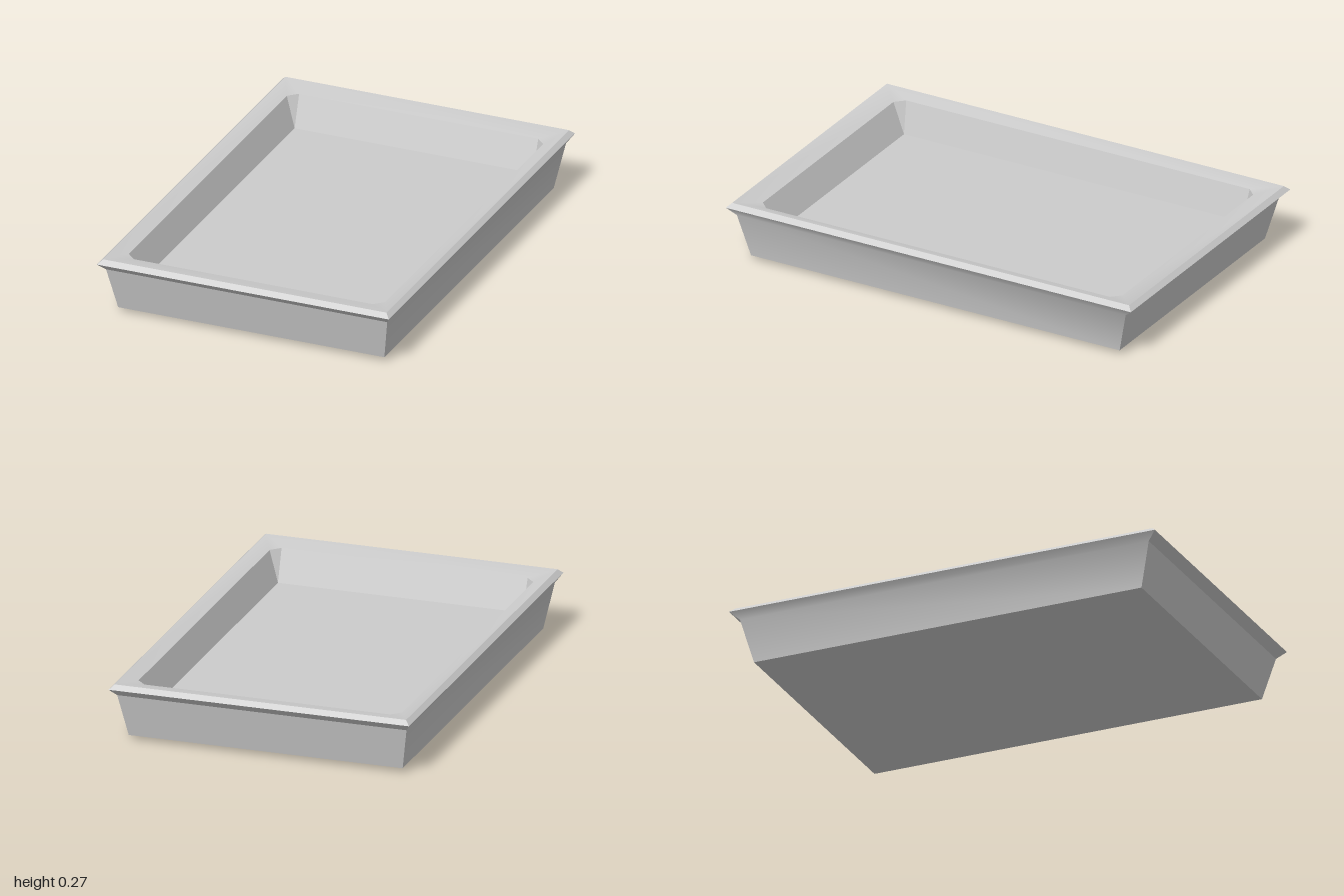
import * as THREE from 'three';
import { toCreasedNormals } from 'three/addons/utils/BufferGeometryUtils.js';

// Rectangle of half-sizes x, z at height y, with corners cut by c
function ring([x, z, y, c = 0]) {
  return [
    [x, z - c], [x - c, z], [c - x, z], [-x, z - c],
    [-x, c - z], [c - x, -z], [x - c, -z], [x, c - z],
  ].map(([px, pz]) => new THREE.Vector3(px, y, pz));
}

// Skin a series of rectangular sections, leaving out zero-area triangles
function loft(sections) {
  const rings = sections.map(ring);
  const points = [];
  const tri = new THREE.Triangle();
  const add = (a, b, c) => {
    if (tri.set(a, b, c).getArea() > 1e-7) points.push(a, b, c);
  };
  for (let i = 0; i < rings.length - 1; i++) {
    for (let k = 0; k < 8; k++) {
      const n = (k + 1) % 8;
      add(rings[i][k], rings[i + 1][k], rings[i + 1][n]);
      add(rings[i][k], rings[i + 1][n], rings[i][n]);
    }
  }
  return toCreasedNormals(new THREE.BufferGeometry().setFromPoints(points), 0.6);
}

export function createModel() {
  const group = new THREE.Group();
  group.name = 'tray';
  const material = new THREE.MeshStandardMaterial({ color: 0xcccccc });

  // Sections: half width, half length, height, corner cut
  const lip = [0.68, 1, 0.25];
  const crest = [0.66, 0.98, 0.27];
  const opening = [0.597, 0.888, 0.25, 0.04];
  const parts = {
    // Underside, sloped walls and flared edge
    outerShell: [[0, 0, 0], [0.55, 0.84, 0], [0.62, 0.91, 0.02], [0.655, 0.96, 0.215], lip],
    // Bevelled lip and the flat border sloping in to the opening
    rim: [lip, crest, opening],
    // Inner walls with cut corners, and the floor
    basin: [opening, [0.555, 0.835, 0.11], [0, 0, 0.11]],
  };
  for (const [name, sections] of Object.entries(parts)) {
    const mesh = new THREE.Mesh(loft(sections), material);
    mesh.name = name;
    group.add(mesh);
  }
  return group;
}
